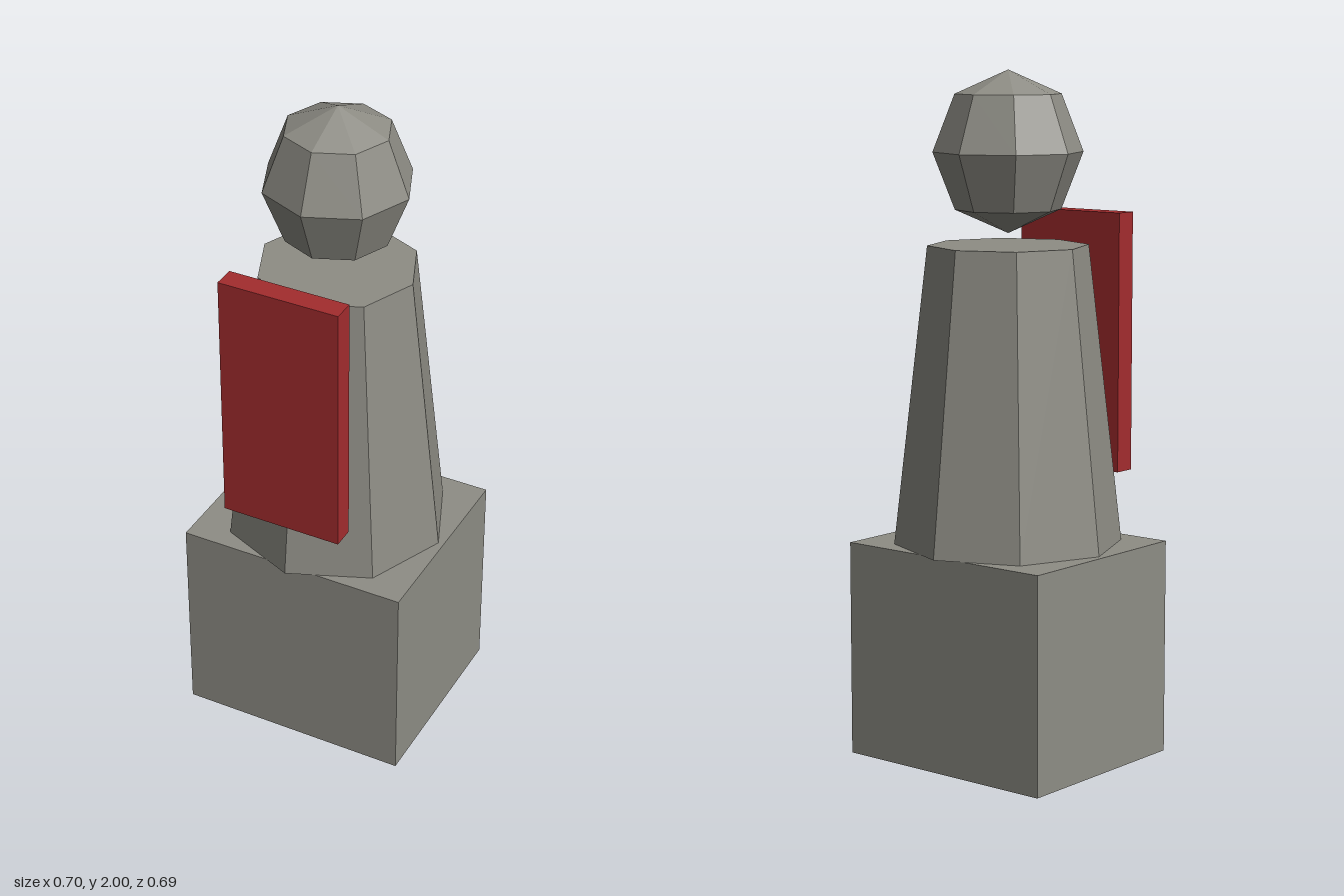
import * as THREE from 'three';

export function createModel() {
  const model = new THREE.Group();
  model.name = 'statue';

  const stone = new THREE.MeshStandardMaterial({ color: 0x8e8d85, flatShading: true });
  stone.name = 'stone grey';
  const red = new THREE.MeshStandardMaterial({ color: 0xa32c2e, flatShading: true });
  red.name = 'banner red';

  const add = (name, geometry, material, y, z) => {
    const mesh = new THREE.Mesh(geometry, material);
    mesh.name = name;
    mesh.position.set(0, y, z);
    model.add(mesh);
    return mesh;
  };

  const axisZ = -0.01; // the stone parts stand slightly behind the centre

  // Square plinth
  add('plinth', new THREE.BoxGeometry(0.7, 0.634, 0.6), stone, 0.317, axisZ);

  // Tapered eight-sided body, corners on the axes
  add('body', new THREE.CylinderGeometry(0.233, 0.333, 0.868, 8), stone, 1.068, axisZ);

  // Faceted head, slightly taller than wide, floating just above the body
  const head = add('head', new THREE.SphereGeometry(0.2165, 8, 4), stone, 1.768, axisZ);
  head.scale.y = 0.232 / 0.2165;

  // Flat banner on the chest
  add('banner', new THREE.BoxGeometry(0.366, 0.765, 0.066), red, 1.2025, 0.309);

  return model;
}
